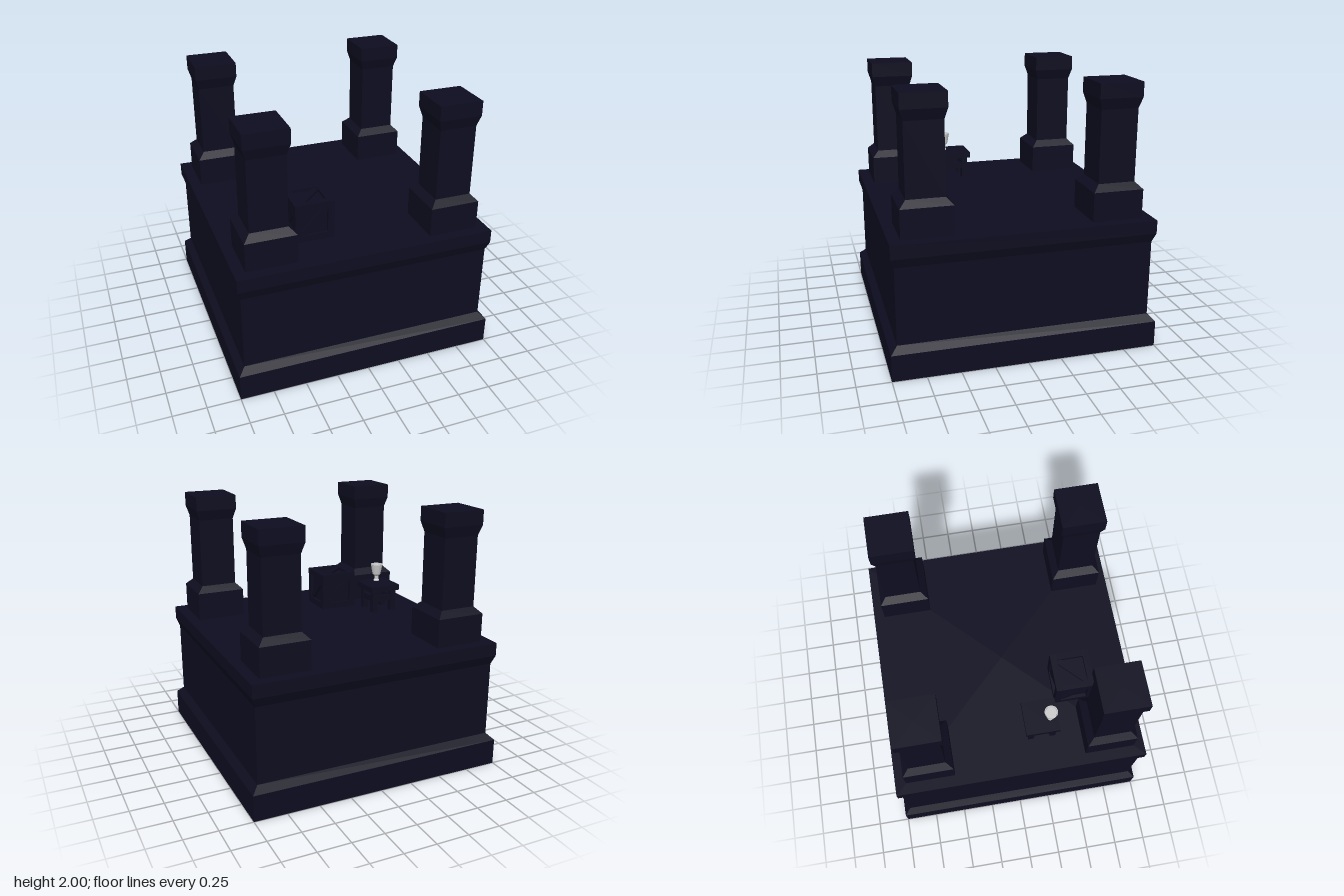
import * as THREE from 'three';

export function createModel() {
  const model = new THREE.Group();
  const stone = new THREE.MeshStandardMaterial({ color: 0x0d0d20 });
  stone.name = 'dark navy';
  const silver = new THREE.MeshStandardMaterial({ color: 0xcccccc });
  silver.name = 'silver';

  const add = (parent, geometry, material, name, x = 0, y = 0, z = 0) => {
    const mesh = new THREE.Mesh(geometry, material);
    mesh.name = name;
    mesh.position.set(x, y, z);
    parent.add(mesh);
    return mesh;
  };
  const box = (parent, name, w, h, d, x, y, z) =>
    add(parent, new THREE.BoxGeometry(w, h, d), stone, name, x, y, z);
  const group = (name, x, y, z) => {
    const g = new THREE.Group();
    g.name = name;
    g.position.set(x, y, z);
    model.add(g);
    return g;
  };

  // Square moulded block from [half width, height] pairs, with hard edges
  const moulding = (profile) => {
    const points = profile.map(([half, y]) => new THREE.Vector2(half * Math.SQRT2, y));
    const geometry = new THREE.LatheGeometry(points, 4, Math.PI / 4).toNonIndexed();
    geometry.computeVertexNormals();
    return geometry;
  };

  // Pedestal
  add(model, moulding([
    [0, 0], [1, 0], [1, 0.2], [0.95, 0.25], [0.95, 0.83], [0.975, 0.9], [0.975, 1], [0, 1],
  ]), stone, 'pedestal');

  // Four corner pillars
  const pillar = moulding([
    [0, 0], [0.19, 0], [0.19, 0.22], [0.14, 0.27], [0.14, 0.81], [0.163, 0.89], [0.163, 1], [0, 1],
  ]);
  for (const x of [-0.7, 0.7]) for (const z of [-0.7, 0.7]) add(model, pillar, stone, 'pillar', x, 1, z);

  // Crate: recessed core, edge beams and a diagonal brace on each visible side
  const crate = group('crate', -0.3, 1.15, 0.5);
  const beam = 0.05, edge = 0.15 - beam / 2;
  box(crate, 'crateCore', 0.25, 0.25, 0.25, 0, 0, 0);
  for (const a of [-edge, edge]) for (const b of [-edge, edge]) {
    box(crate, 'crateBeam', 0.3, beam, beam, 0, a, b);
    box(crate, 'crateBeam', beam, 0.3 - 2 * beam, beam, a, 0, b);
    box(crate, 'crateBeam', beam, beam, 0.3 - 2 * beam, a, b, 0);
  }
  const sides = [[0, 0], [0, Math.PI / 2], [0, Math.PI], [0, -Math.PI / 2], [-Math.PI / 2, 0]];
  for (const [rx, ry] of sides) {
    const side = new THREE.Group();
    side.name = 'crateSide';
    side.rotation.set(rx, ry, 0);
    crate.add(side);
    box(side, 'crateBrace', 0.27, 0.045, 0.02, 0, 0, 0.132).rotation.z = Math.PI / 4;
  }

  // Small table with legs and rails
  const table = group('table', -0.6, 1, 0.2);
  box(table, 'tableTop', 0.26, 0.045, 0.26, 0, 0.2025, 0);
  for (const s of [-0.085, 0.085]) {
    for (const t of [-0.085, 0.085]) box(table, 'tableLeg', 0.046, 0.18, 0.046, s, 0.09, t);
    box(table, 'tableRail', 0.03, 0.05, 0.124, s, 0.11, 0);
    box(table, 'tableRail', 0.124, 0.05, 0.03, 0, 0.11, s);
  }

  // Goblet
  const cup = [
    [0, 0], [0.024, 0], [0.024, 0.008], [0.017, 0.018], [0.017, 0.045],
    [0.034, 0.06], [0.051, 0.145], [0.046, 0.145], [0.042, 0.128], [0, 0.128],
  ].map(([r, y]) => new THREE.Vector2(r, y));
  const cupGeometry = new THREE.LatheGeometry(cup, 16).toNonIndexed();
  cupGeometry.computeVertexNormals();
  add(model, cupGeometry, silver, 'goblet', -0.62, 1.225, 0.27);

  return model;
}
